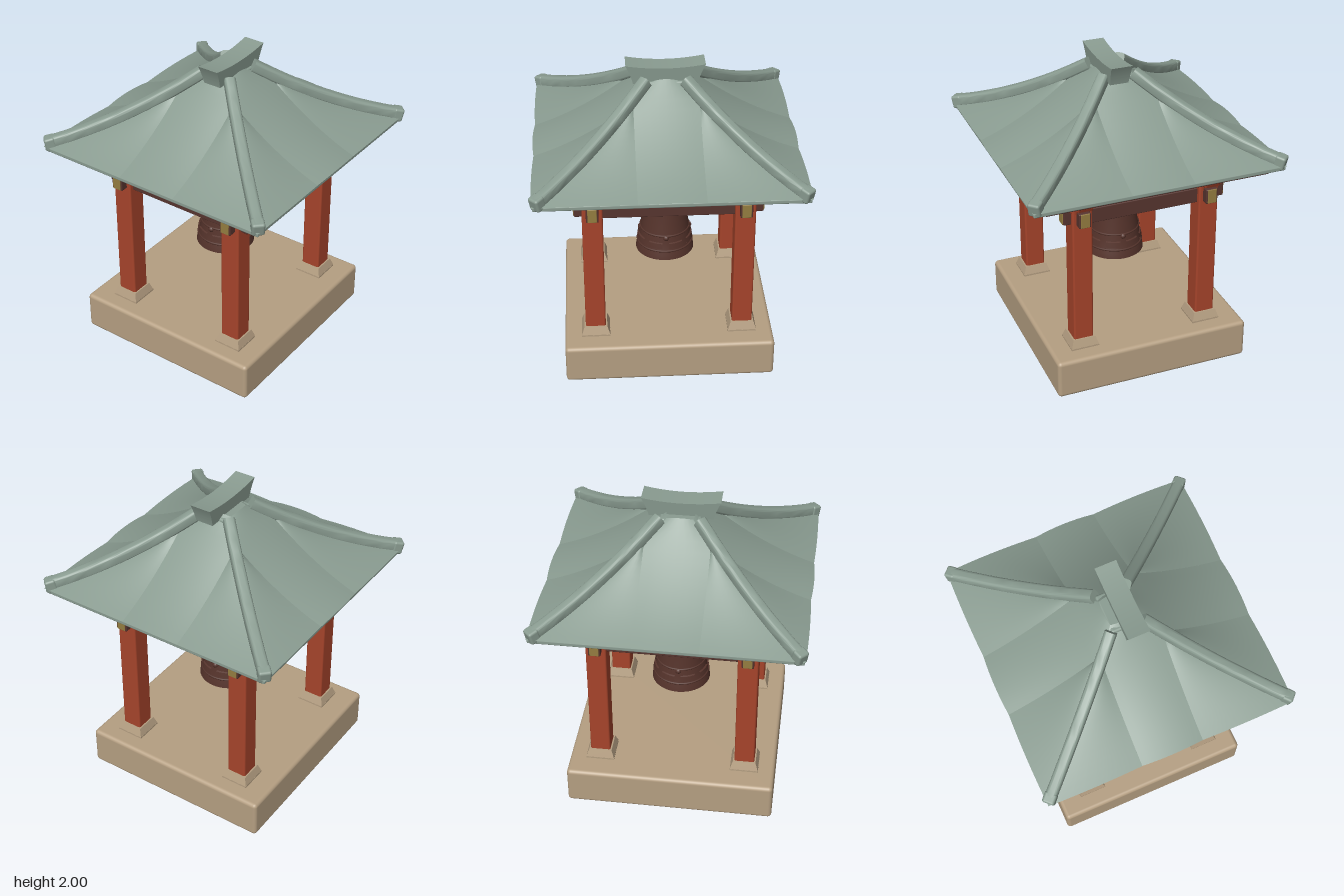
import * as THREE from 'three';
import { toCreasedNormals } from 'three/addons/utils/BufferGeometryUtils.js';
import { RoundedBoxGeometry } from 'three/addons/geometries/RoundedBoxGeometry.js';

const material = (name, color, extra = {}) => {
  const m = new THREE.MeshStandardMaterial({ color, ...extra });
  m.name = name;
  return m;
};

// Height of the concave roof at distance d from its centre
const roofY = (d) => {
  const q = (0.81 - d) / 0.71;
  return 1.45 + 0.43 * (0.55 * q + 0.45 * q * q);
};

// One softly bulging roof panel facing +z; left(d) and right(d) are its side limits
function roofPanel(left, right, dTop, bulge) {
  const rows = 14, cols = 8, pos = [], idx = [];
  for (let j = 0; j <= rows; j++) {
    const d = 0.81 + (dTop - 0.81) * j / rows;
    for (let i = 0; i <= cols; i++) {
      const s = i / cols;
      const lift = bulge * (1 - (2 * s - 1) ** 2);
      pos.push(left(d) + (right(d) - left(d)) * s, roofY(d) + lift, d + lift);
      if (i < cols && j < rows) {
        const a = j * (cols + 1) + i, b = a + cols + 1;
        idx.push(a, a + 1, b + 1, a, b + 1, b);
      }
    }
  }
  const g = new THREE.BufferGeometry();
  g.setAttribute('position', new THREE.Float32BufferAttribute(pos, 3));
  g.setIndex(idx);
  g.computeVertexNormals();
  return g;
}

// Rounded bar bent along a curve lying in a vertical plane
function bentBar(curve, w, h) {
  const r = 0.022, x = w / 2 - r, y = h / 2 - r, shape = new THREE.Shape();
  shape.absarc(x, y, r, 0, Math.PI / 2);
  shape.absarc(-x, y, r, Math.PI / 2, Math.PI);
  shape.absarc(-x, -y, r, Math.PI, Math.PI * 1.5);
  shape.absarc(x, -y, r, Math.PI * 1.5, Math.PI * 2);
  const g = new THREE.ExtrudeGeometry(shape, { depth: 1, steps: 16, bevelEnabled: false, curveSegments: 4 });
  const p = g.attributes.position, up = new THREE.Vector3(0, 1, 0);
  for (let i = 0; i < p.count; i++) {
    const t = p.getZ(i), T = curve.getTangent(t);
    const S = up.clone().cross(T).normalize(), N = T.clone().cross(S);
    const v = curve.getPoint(t).addScaledVector(S, p.getX(i)).addScaledVector(N, p.getY(i));
    p.setXYZ(i, v.x, v.y, v.z);
  }
  return toCreasedNormals(g, 0.7);
}

export function createModel() {
  const root = new THREE.Group();
  const stone = material('stone', 0xb59f82);
  const red = material('red lacquer', 0xa6442b);
  const wood = material('dark wood', 0x57352f);
  const bronze = material('bell bronze', 0x55332b, { side: THREE.DoubleSide });
  const gold = material('gold', 0x947d40);
  const tile = material('green roof', 0x8a9c91, { side: THREE.DoubleSide });

  const add = (name, geo, mat, x = 0, y = 0, z = 0, parent = root) => {
    const m = new THREE.Mesh(geo, mat);
    m.name = name;
    m.position.set(x, y, z);
    parent.add(m);
    return m;
  };
  const box = (w, h, d, r) => new RoundedBoxGeometry(w, h, d, 3, r);
  const CX = -0.012, PX = 0.42, PZ = 0.475;

  add('base', box(1.3, 0.26, 1.35, 0.025), stone, -0.02, 0.13, 0);

  // Bracket arm outline, mirrored about its middle
  const half = [[0.07, 1.235], [0.08, 1.262], [0.115, 1.27], [0.128, 1.298], [0.15, 1.305],
    [0.156, 1.32], [0.155, 1.342], [0.145, 1.353], [0.07, 1.353], [0.058, 1.338]];
  const outline = [...half, ...half.map(([x, y]) => [-x, y]).reverse()];
  const armGeo = new THREE.ExtrudeGeometry(
    new THREE.Shape(outline.map(([x, y]) => new THREE.Vector2(x, y))),
    { depth: 0.084, bevelThickness: 0.006, bevelSize: 0.004, bevelSegments: 2 });
  armGeo.translate(0, 0, -0.042);

  // Plinth: a squat block with sloped sides
  const plinthGeo = new THREE.CylinderGeometry(0.105, 0.131, 0.055, 4).rotateY(Math.PI / 4);
  const postGeo = box(0.13, 0.97, 0.13, 0.012);

  for (const sx of [-1, 1]) for (const sz of [-1, 1]) {
    const corner = new THREE.Group();
    corner.name = 'cornerPost';
    corner.position.set(CX + sx * PX, 0, sz * PZ);
    root.add(corner);
    add('plinthFoot', new THREE.BoxGeometry(0.185, 0.015, 0.185), stone, 0, 0.264, 0, corner);
    add('plinth', toCreasedNormals(plinthGeo, 0.5), stone, 0, 0.297, 0, corner);
    add('post', postGeo, red, 0, 0.785, 0, corner);
    add('bracketArmX', armGeo, red, 0, 0, 0, corner);
    add('bracketArmZ', armGeo, red, 0, 0, 0, corner).rotation.y = Math.PI / 2;
    // Beam ends with gold caps on the two outer faces
    add('beamEndX', box(0.06, 0.1, 0.078, 0.008), wood, sx * 0.083, 1.198, 0, corner);
    add('goldCapX', box(0.008, 0.094, 0.058, 0.003), gold, sx * 0.114, 1.2, 0, corner);
    add('beamEndZ', box(0.078, 0.1, 0.06, 0.008), wood, 0, 1.198, sz * 0.083, corner);
    add('goldCapZ', box(0.058, 0.094, 0.008, 0.003), gold, 0, 1.2, sz * 0.114, corner);
  }

  // Tie beams between the posts
  for (const s of [-1, 1]) {
    add('tieBeamX', box(2 * PX, 0.1, 0.07, 0.006), wood, CX, 1.18, s * PZ);
    add('tieBeamZ', box(0.07, 0.1, 2 * PZ, 0.006), wood, CX + s * PX, 1.18, 0);
  }

  // Bell with inner wall, raised bands and relief plates
  const bell = new THREE.Group();
  bell.name = 'bell';
  bell.position.set(CX, 0, 0);
  root.add(bell);
  const lathe = (pts, ...arc) => toCreasedNormals(
    new THREE.LatheGeometry(pts.map(([x, y]) => new THREE.Vector2(x, y)), ...(arc.length ? arc : [40])), 0.6);
  add('bellBody', lathe([[0, 0.98], [0.09, 0.95], [0.135, 0.8], [0.165, 0.62], [0.192, 0.62], [0.186, 0.655],
    [0.176, 0.69], [0.168, 0.74], [0.16, 0.79], [0.15, 0.86], [0.141, 0.93], [0.134, 0.99], [0.125, 1.02],
    [0.105, 1.048], [0.075, 1.064], [0.04, 1.07], [0, 1.07]]), bronze, 0, 0, 0, bell);
  for (const [r, y] of [[0.18, 0.68], [0.161, 0.785], [0.133, 0.995]])
    add('bellBand', new THREE.TorusGeometry(r, 0.007, 6, 40).rotateX(Math.PI / 2), bronze, 0, y, 0, bell);
  for (let i = 0; i < 8; i++) {
    const a = i * Math.PI / 4;
    add('bellRelief', lathe([[0.17, 0.695], [0.184, 0.7], [0.178, 0.735], [0.164, 0.74]], 6, a + 0.1, 0.55),
      bronze, 0, 0, 0, bell);
    if (i % 2 === 0)
      add('bellBoss', new THREE.SphereGeometry(0.02, 12, 8), bronze, Math.sin(a) * 0.158, 0.772, Math.cos(a) * 0.158, bell);
  }
  add('bellRod', new THREE.CylinderGeometry(0.014, 0.014, 0.34, 12), wood, 0, 1.225, 0, bell);

  // Roof: ceiling board, eave slab and three panels on each side
  add('ceilingBoard', box(1.44, 0.05, 1.505, 0.006), wood, -0.01, 1.402, 0);
  const roof = new THREE.Group();
  roof.name = 'roof';
  roof.scale.z = 1.02;
  root.add(roof);
  add('eaveSlab', box(1.61, 0.03, 1.61, 0.008), tile, 0, 1.436, 0, roof);
  const middle = roofPanel((d) => -Math.min(0.2, d), (d) => Math.min(0.2, d), 0.08, 0.01);
  const rightSide = roofPanel(() => 0.2, (d) => d, 0.2, 0.007);
  const leftSide = roofPanel((d) => -d, () => -0.2, 0.2, 0.007);
  for (let k = 0; k < 4; k++)
    for (const g of [middle, rightSide, leftSide])
      add('roofPanel', g, tile, 0, 0, 0, roof).rotation.y = k * Math.PI / 2;
  add('roofCrown', box(0.2, 0.06, 0.26, 0.015), tile, 0.01, 1.86, 0);

  // Hip ridges running down to the four corners
  for (const sx of [-1, 1]) for (const sz of [-1, 1]) {
    const pts = [0.1, 0.25, 0.4, 0.55, 0.7, 0.795].map((d) =>
      new THREE.Vector3(sx * d + 0.008 * (1 - d), roofY(d) + 0.018, sz * (d + 0.025 * (1 - d))));
    const curve = new THREE.CatmullRomCurve3(pts);
    add('hipRidge', bentBar(curve, 0.072, 0.078), tile);
    add('hipEnd', box(0.078, 0.088, 0.07, 0.015), tile, sx * 0.783, 1.472, sz * 0.79)
      .lookAt(sx * 1.783, 1.15, sz * 1.79);
  }

  // Top ridge with upswept ends, narrower towards the bottom
  const cap = new THREE.Shape();
  cap.moveTo(-0.2, 1.875);
  cap.lineTo(0.2, 1.875);
  cap.quadraticCurveTo(0.215, 1.94, 0.245, 2);
  cap.quadraticCurveTo(0, 1.955, -0.245, 2);
  cap.quadraticCurveTo(-0.215, 1.94, -0.2, 1.875);
  const capGeo = new THREE.ExtrudeGeometry(cap, { depth: 0.14, bevelEnabled: false, curveSegments: 14 });
  capGeo.translate(0, 0, -0.07).rotateY(Math.PI / 2);
  const cp = capGeo.attributes.position;
  for (let i = 0; i < cp.count; i++) cp.setX(i, cp.getX(i) * (0.85 + 0.15 * (cp.getY(i) - 1.875) / 0.125));
  add('topRidge', toCreasedNormals(capGeo, 0.5), tile, 0.033, 0, 0);

  return root;
}
